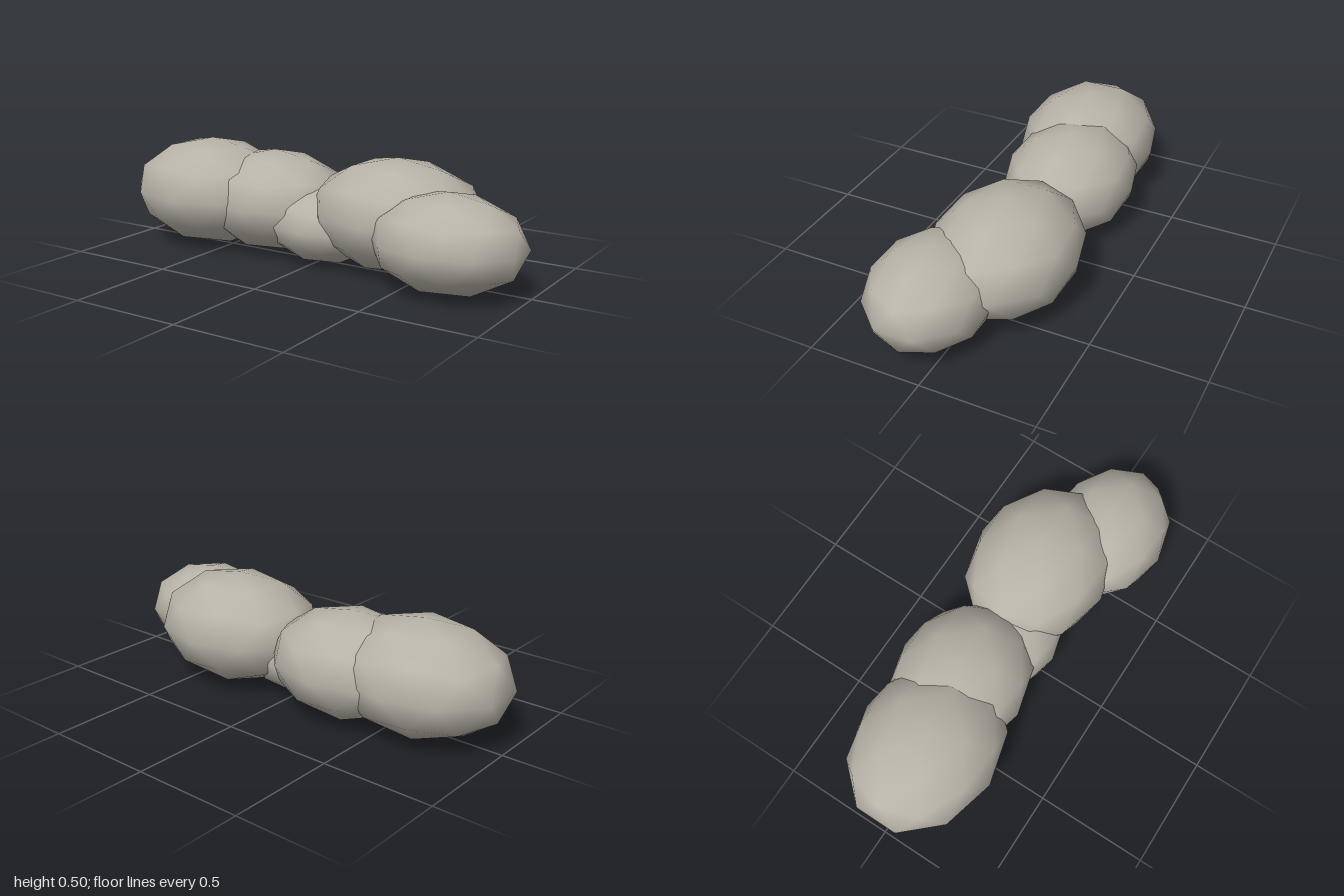
import * as THREE from 'three';

// Row of overlapping low-poly boulders: [x, z, radius]
const BOULDERS = [
  [-0.62, -0.015, 0.4],
  [-0.295, -0.064, 0.375],
  [0.022, 0, 0.273],
  [0.352, -0.058, 0.4],
  [0.677, 0.107, 0.338],
];
const FLATTEN_Y = 0.62;
const FLATTEN_Z = 0.795;

export function createModel() {
  const group = new THREE.Group();
  group.name = 'boulderRow';
  const stone = new THREE.MeshStandardMaterial({ color: 0xb8b3a8 });
  stone.name = 'stone grey';

  // Icosphere turned so one corner points straight up and a ring corner points to +x
  const ball = new THREE.IcosahedronGeometry(1, 1);
  ball.rotateX(-Math.atan((1 + Math.sqrt(5)) / 2));
  ball.rotateY(Math.PI / 2);

  BOULDERS.forEach(([x, z, r], i) => {
    const boulder = new THREE.Mesh(ball, stone);
    boulder.name = `boulder${i + 1}`;
    boulder.scale.set(r, r * FLATTEN_Y, r * FLATTEN_Z);
    boulder.position.set(x, r * FLATTEN_Y, z); // each one rests on the ground
    group.add(boulder);
  });
  return group;
}
